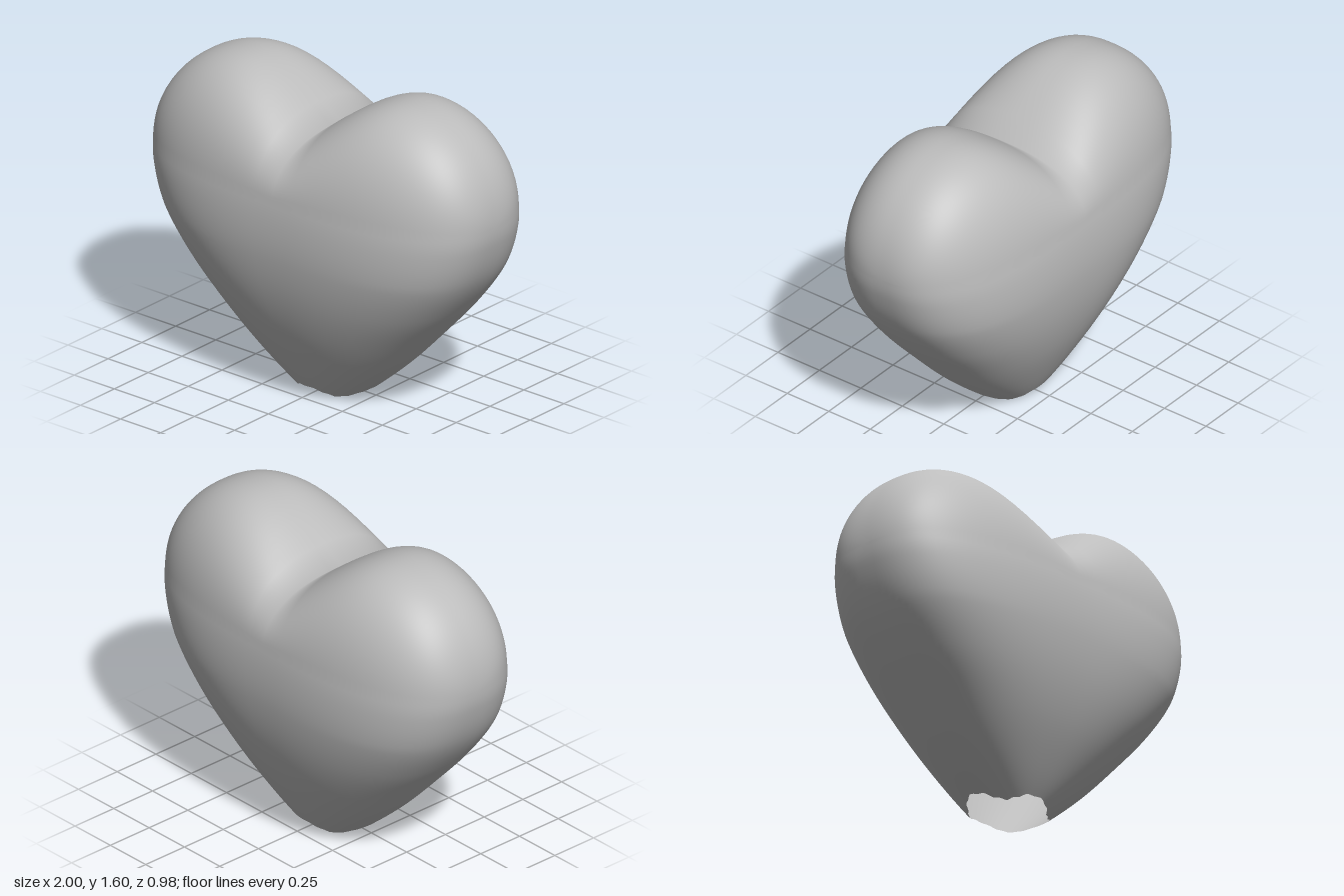
import * as THREE from 'three';
import { mergeGeometries, mergeVertices } from 'three/addons/utils/BufferGeometryUtils.js';

const JOIN = 1.1; // height where the lower body meets the two lobes
const SEG = 128;  // segments round the body

// Smooth interpolation through [height, value] pairs
function profile(pairs) {
  const curve = new THREE.CubicInterpolant(
    new Float32Array(pairs.map(p => p[0])), new Float32Array(pairs.map(p => p[1])), 1);
  return y => curve.evaluate(y)[0];
}
const halfWidth = profile([[-0.05, 0.12], [0.03, 0.225], [0.2, 0.42], [0.4, 0.61], [0.6, 0.785],
  [0.8, 0.92], [1, 0.99], [JOIN, 1], [1.2, 0.99]]);
const halfDepth = profile([[-0.05, 0.13], [0.03, 0.19], [0.2, 0.29], [0.4, 0.385], [0.6, 0.45],
  [0.8, 0.485], [0.95, 0.49], [JOIN, 0.475], [1.2, 0.45]]);

// Signed power, for superellipse cross-sections
const spow = (v, p) => Math.sign(v) * Math.abs(v) ** (2 / p);

function section(y, angle) {
  const p = 2.1 + 0.6 * Math.min(1, y / 0.8);
  return [halfWidth(y) * spow(Math.cos(angle), p), y, halfDepth(y) * spow(Math.sin(angle), p)];
}

// Upper outline of the heart: a dip in the middle, then a round shoulder
function topHeight(x) {
  const a = Math.min(1, Math.abs(x));
  return a < 0.5
    ? 1.35 + 0.257 * Math.sin(a * Math.PI)
    : JOIN + 0.507 * Math.sqrt(Math.max(0, 1 - ((a - 0.5) / 0.5) ** 2));
}

// Indexed grid of points, rows by columns
function grid(rows, cols, point) {
  const pos = [], index = [];
  for (let j = 0; j <= rows; j++)
    for (let i = 0; i <= cols; i++) pos.push(...point(i / cols, j / rows));
  for (let j = 0; j < rows; j++)
    for (let i = 0; i < cols; i++) {
      const a = j * (cols + 1) + i, d = a + cols + 1;
      index.push(a, d, a + 1, a + 1, d, d + 1);
    }
  const geo = new THREE.BufferGeometry();
  geo.setAttribute('position', new THREE.Float32BufferAttribute(pos, 3));
  geo.setIndex(index);
  return geo;
}

export function createModel() {
  const group = new THREE.Group();
  group.name = 'heart';
  const grey = new THREE.MeshStandardMaterial({ color: 0xbcbcbc, side: THREE.DoubleSide });
  grey.name = 'grey';

  // Tapering lower body, open at the bottom with a ragged rim
  const lower = grid(48, SEG, (u, v) => {
    const angle = u * Math.PI * 2;
    const ragged = 0.006 * (1 + Math.sin(angle * 11) * Math.cos(angle * 7));
    const rim = 0.035 * Math.cos(2 * angle) ** 2 + ragged;
    return section(rim + (JOIN - rim) * v, angle);
  });

  // Twin lobes: arches running from front to back over the join
  const upper = grid(64, SEG / 2, (u, v) => {
    const [x, , z] = section(JOIN, u * Math.PI);
    const t = v * Math.PI;
    const rise = (topHeight(x) - JOIN) * Math.abs(spow(Math.sin(t), 2.4));
    return [x, JOIN + rise, z * spow(Math.cos(t), 2.4) * (1 - 0.25 * rise)];
  });

  const geo = mergeVertices(mergeGeometries([lower, upper]), 1e-4);
  geo.computeVertexNormals();
  const body = new THREE.Mesh(geo, grey);
  body.name = 'heartShell';
  group.add(body);
  return group;
}
